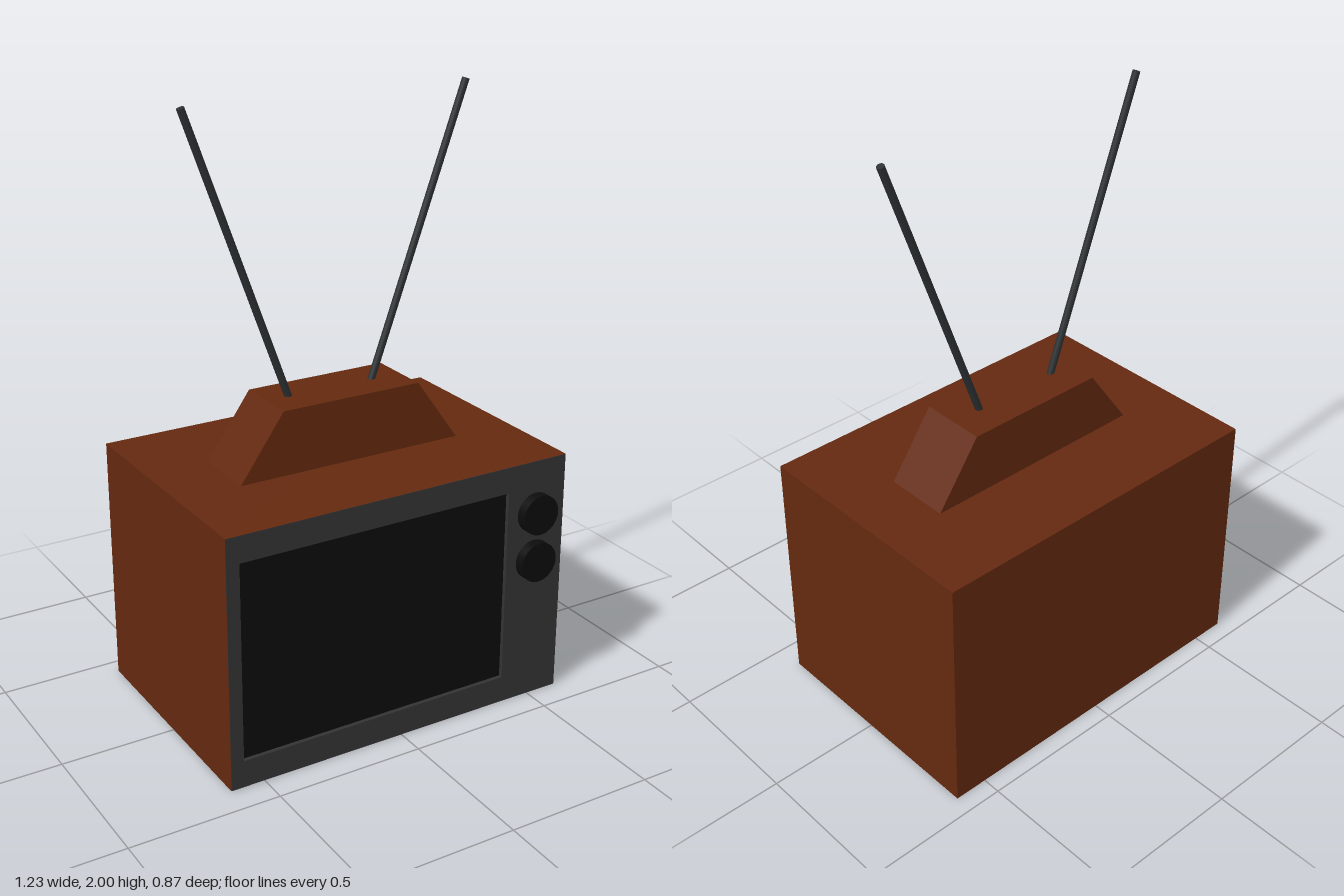
import * as THREE from 'three';

const paint = (color) => new THREE.MeshStandardMaterial({ color });
const wood = paint(0x64290f);
const bezelGrey = paint(0x333333);
const black = paint(0x0c0c0c);
const metal = paint(0x2c3032);

const HALF_W = 0.615, TOP = 0.845, BACK = -0.437, FRONT = 0.403, RECESS = 0.015;

function add(group, name, geometry, material, x = 0, y = 0, z = 0) {
  const mesh = new THREE.Mesh(geometry, material);
  mesh.name = name;
  mesh.position.set(x, y, z);
  group.add(mesh);
  return mesh;
}

const polygon = (points) => new THREE.Shape(points.map(([x, y]) => new THREE.Vector2(x, y)));
const rectangle = (x0, y0, x1, y1) => polygon([[x0, y0], [x1, y0], [x1, y1], [x0, y1]]);
const extrude = (shape, depth) => new THREE.ExtrudeGeometry(shape, { depth, bevelEnabled: false });

export function createModel() {
  const tv = new THREE.Group();
  tv.name = 'television';

  // Wooden cabinet: a box whose front face is left out for the bezel
  const box = new THREE.BoxGeometry(HALF_W * 2, TOP, FRONT - BACK);
  const faces = Array.from(box.index.array);
  faces.splice(24, 6);
  box.setIndex(faces);
  box.clearGroups();
  add(tv, 'cabinet', box, wood, 0, TOP / 2, (FRONT + BACK) / 2);

  // Front bezel with the screen opening, fitted just inside the cabinet walls
  const gap = 0.0008;
  const front = rectangle(-HALF_W + gap, gap, HALF_W - gap, TOP - gap);
  front.holes.push(rectangle(-0.57, 0.092, 0.393, 0.756));
  add(tv, 'bezel', extrude(front, RECESS), bezelGrey, 0, 0, FRONT - RECESS);

  // Recessed screen
  add(tv, 'screen', new THREE.PlaneGeometry(0.963, 0.664), black, -0.0885, 0.424, FRONT - RECESS + 0.001);

  // Two round control knobs
  for (const [name, y] of [['upperKnob', 0.667], ['lowerKnob', 0.5]]) {
    const knob = new THREE.CylinderGeometry(0.068, 0.068, 0.034, 32).rotateX(Math.PI / 2);
    add(tv, name, knob, black, 0.5, y, FRONT + 0.017);
  }

  // Sloped antenna base on the roof
  const trapezoid = polygon([[-0.4, TOP], [0.4, TOP], [0.247, 1.06], [-0.247, 1.06]]);
  add(tv, 'antennaBase', extrude(trapezoid, 0.225), wood, 0, 0, -0.13);

  // Splayed antenna rods, sunk a little into the base
  const rods = [['rightAntenna', -0.161, -0.508], ['leftAntenna', 0.133, 0.481]];
  for (const [name, x0, x1] of rods) {
    const from = new THREE.Vector3(x0, 1.04, -0.018);
    const to = new THREE.Vector3(x1, 1.996, -0.018);
    const dir = to.clone().sub(from);
    const rod = add(tv, name, new THREE.CylinderGeometry(0.0122, 0.0122, dir.length(), 16), metal);
    rod.position.copy(from).lerp(to, 0.5);
    rod.quaternion.setFromUnitVectors(new THREE.Vector3(0, 1, 0), dir.normalize());
  }
  return tv;
}
